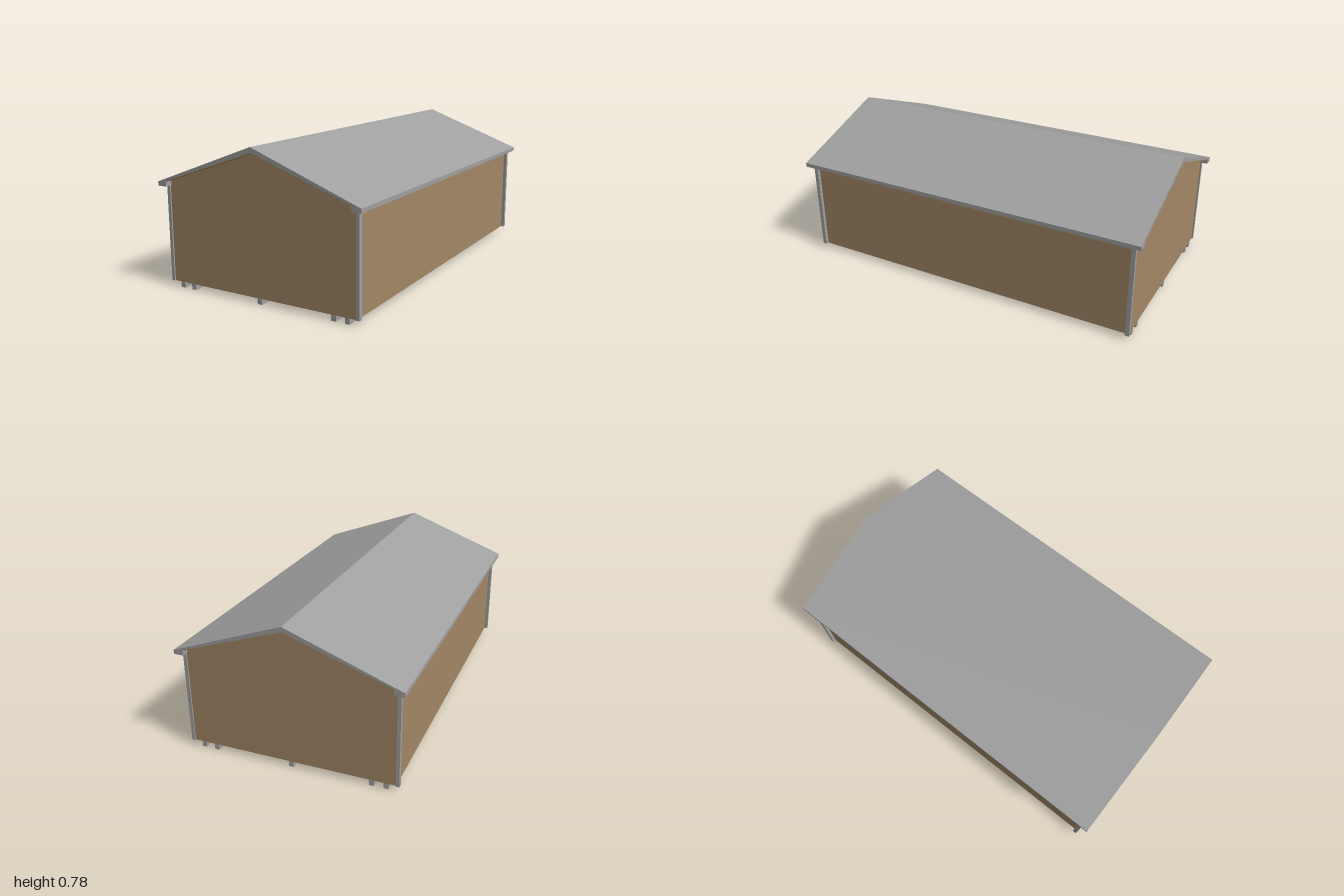
import * as THREE from 'three';

export function createModel() {
  const model = new THREE.Group();
  const cladding = new THREE.MeshStandardMaterial({ color: 0xa38866 });
  cladding.name = 'tan cladding';
  const metal = new THREE.MeshStandardMaterial({ color: 0xa0a0a0 });
  metal.name = 'grey metal';

  const base = 0.03, eave = 0.535, wallTop = 0.565, ridge = 0.75;
  const halfW = 0.546, halfL = 0.96, thin = 0.005;

  function add(name, geometry, material, x = 0, y = 0, z = 0) {
    const mesh = new THREE.Mesh(geometry, material);
    mesh.name = name;
    mesh.position.set(x, y, z);
    model.add(mesh);
  }

  // Extrudes an outline in x, y along z, centred on z = 0
  function prism(points, length) {
    const shape = new THREE.Shape(points.map(([x, y]) => new THREE.Vector2(x, y)));
    return new THREE.ExtrudeGeometry(shape, { depth: length, bevelEnabled: false })
      .translate(0, 0, -length / 2);
  }

  // Roof with boxed eaves
  add('roof', prism([
    [0, 0.777], [-0.592, 0.557], [-0.592, eave], [-0.54, eave], [-0.54, wallTop],
    [0, ridge], [0.54, wallTop], [0.54, eave], [0.592, eave], [0.592, 0.557],
  ], 2), metal);

  // Lining under the roof slopes
  add('ceilingLining', prism([
    [0, ridge], [-0.54, wallTop], [-0.54, wallTop - thin],
    [0, ridge - thin], [0.54, wallTop - thin], [0.54, wallTop],
  ], 1.996), cladding);

  // Gable end walls
  const gable = prism([
    [-halfW, base], [halfW, base], [halfW, eave], [0.54, eave], [0.54, wallTop],
    [0, ridge], [-0.54, wallTop], [-0.54, eave], [-halfW, eave],
  ], thin);
  for (const s of [1, -1]) {
    add(s > 0 ? 'frontWall' : 'backWall', gable, cladding, 0, 0, s * (halfL - thin / 2));
  }

  // Long side walls
  const wallH = wallTop - base;
  const side = new THREE.BoxGeometry(thin, wallH, 2 * halfL - 2 * thin);
  for (const s of [1, -1]) {
    add(s > 0 ? 'leftWall' : 'rightWall', side, cladding,
      s * (halfW - thin / 2), base + wallH / 2, 0);
  }

  // Corner trims
  const trim = new THREE.BoxGeometry(0.018, eave - base, 0.022);
  for (const sx of [1, -1]) {
    for (const sz of [1, -1]) {
      add('cornerTrim', trim, metal, sx * 0.555, (eave + base) / 2, sz * 0.956);
    }
  }

  // Skids beneath the open floor
  const skid = new THREE.BoxGeometry(0.025, base, 1.92);
  for (const x of [-0.495, -0.422, 0, 0.422, 0.495]) {
    add('skid', skid, metal, x, base / 2, 0);
  }

  return model;
}
